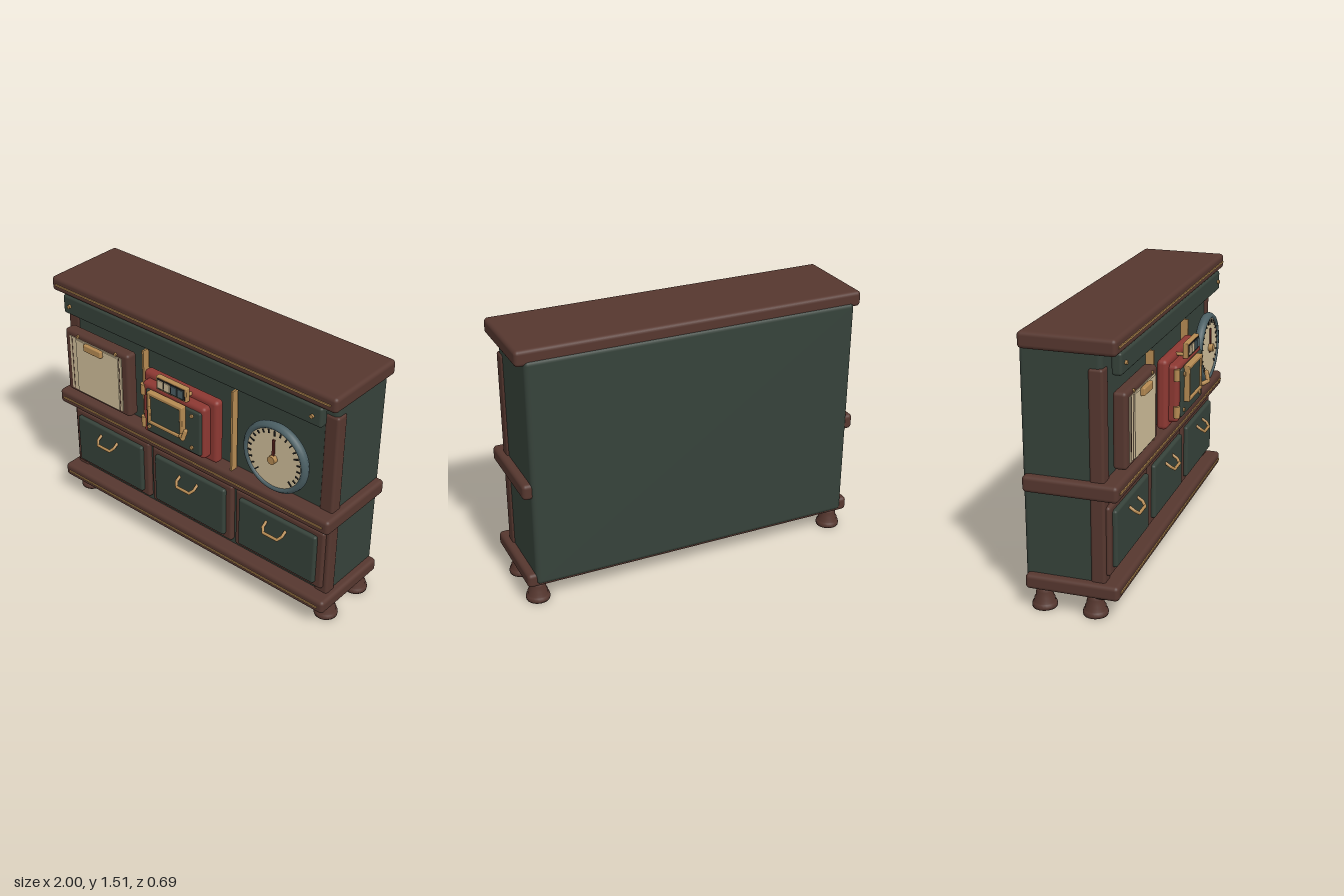
import * as THREE from 'three';
import { RoundedBoxGeometry } from 'three/addons/geometries/RoundedBoxGeometry.js';

const mat = (name, color) => {
  const m = new THREE.MeshStandardMaterial({ color });
  m.name = name;
  return m;
};

export function createModel() {
  const wood = mat('brown wood', 0x56372f);
  const green = mat('dark green', 0x36423a);
  const brass = mat('brass', 0xb58a52);
  const cream = mat('cream', 0xd0be9a);
  const red = mat('red enamel', 0x8c3832);
  const slate = mat('slate blue', 0x4b5f64);
  const dark = mat('near black', 0x232222);
  const maroon = mat('needle red', 0x5e2420);
  const model = new THREE.Group();
  model.name = 'cabinet';

  const add = (name, geo, material, parent = model) => {
    const mesh = new THREE.Mesh(geo, material);
    mesh.name = name;
    parent.add(mesh);
    return mesh;
  };
  // box given by its limits; r > 0 rounds the edges
  const box = (name, material, [x0, x1], [y0, y1], [z0, z1], r = 0, parent = model) => {
    const w = x1 - x0, h = y1 - y0, d = z1 - z0;
    const geo = r ? new RoundedBoxGeometry(w, h, d, 3, r) : new THREE.BoxGeometry(w, h, d);
    const mesh = add(name, geo, material, parent);
    mesh.position.set((x0 + x1) / 2, (y0 + y1) / 2, (z0 + z1) / 2);
    return mesh;
  };
  // disc or rod pointing forward
  const rod = (name, material, x, y, z0, z1, r, seg = 16) => {
    const mesh = add(name, new THREE.CylinderGeometry(r, r, z1 - z0, seg), material);
    mesh.rotation.x = Math.PI / 2;
    mesh.position.set(x, y, (z0 + z1) / 2);
    return mesh;
  };
  // tube through points with straight runs
  const pipe = (name, pts, r, parent = model) => {
    const path = new THREE.CurvePath();
    const v = pts.map(p => new THREE.Vector3(...p));
    for (let i = 1; i < v.length; i++) path.add(new THREE.LineCurve3(v[i - 1], v[i]));
    add(name, new THREE.TubeGeometry(path, 36, r, 8), brass, parent);
    for (const p of v) add(name + 'Joint', new THREE.SphereGeometry(r, 8, 6), brass, parent).position.copy(p);
  };

  // carcass and corner stiles
  box('body', green, [-0.955, 0.955], [0.135, 1.45], [-0.34, 0.095], 0.025);
  for (const s of [-1, 1]) {
    const a = 0.88 * s, b = 0.965 * s;
    box('cornerStile', wood, [Math.min(a, b), Math.max(a, b)], [0.1, 1.345], [0.025, 0.103], 0.015);
  }

  // projecting shelves with brass inlay
  for (const [name, y0, y1] of [['baseShelf', 0.12, 0.202], ['middleShelf', 0.665, 0.755], ['topSlab', 1.422, 1.51]]) {
    box(name, wood, [-1, 1], [y0, y1], [-0.33, 0.185], 0.022);
    const y = (y0 + y1) / 2 - 0.001;
    box(name + 'Inlay', brass, [-0.965, 0.965], [y - 0.005, y + 0.005], [0.183, 0.191]);
  }

  // turned feet
  const footProfile = [[0, 0], [0.066, 0], [0.068, 0.012], [0.064, 0.028], [0.056, 0.032], [0.056, 0.05],
    [0.048, 0.06], [0.046, 0.085], [0.043, 0.09], [0.04, 0.13], [0, 0.13]].map(p => new THREE.Vector2(...p));
  for (const x of [-0.925, 0.925]) for (const z of [0.035, -0.25]) {
    add('foot', new THREE.LatheGeometry(footProfile, 24), wood).position.set(x, 0, z);
  }

  // cornice board
  box('corniceBoard', green, [-0.915, 0.915], [1.305, 1.422], [0.128, 0.183], 0.015);
  for (const x of [-0.86, 0.86]) rod('corniceScrew', brass, x, 1.362, 0.18, 0.196, 0.011);

  // drawers
  for (const cx of [-0.635, 0, 0.635]) {
    const drawer = new THREE.Group();
    drawer.name = 'drawer';
    drawer.position.x = cx;
    model.add(drawer);
    box('drawerFrame', wood, [-0.305, 0.305], [0.23, 0.615], [0.08, 0.124], 0.016, drawer);
    box('drawerPanel', green, [-0.265, 0.265], [0.264, 0.583], [0.105, 0.147], 0.014, drawer);
    pipe('drawerHandle', [[-0.066, 0.527, 0.142], [-0.066, 0.505, 0.175], [-0.047, 0.486, 0.194],
      [0.047, 0.486, 0.194], [0.066, 0.505, 0.175], [0.066, 0.527, 0.142]], 0.009, drawer);
  }

  // brass dividers
  for (const x of [-0.322, 0.322]) box('divider', brass, [x - 0.006, x + 0.006], [0.757, 1.265], [0.112, 0.156]);

  // notice board with paper stack and clip
  box('noticeBoard', wood, [-0.9, -0.397], [0.808, 1.217], [0.125, 0.2], 0.02);
  box('backPaper', cream, [-0.857, -0.445], [0.835, 1.185], [0.195, 0.204]);
  box('frontPaper', cream, [-0.8, -0.465], [0.838, 1.182], [0.204, 0.212]);
  for (const x of [-0.838, -0.803, -0.463]) box('paperEdge', wood, [x - 0.0015, x + 0.0015], [0.838, 1.182], [0.203, 0.206]);
  box('paperClip', brass, [-0.717, -0.58], [1.145, 1.188], [0.21, 0.236], 0.006);
  for (const x of [-0.79, -0.49]) rod('boardScrew', brass, x, 1.198, 0.195, 0.207, 0.01);

  // red safe: housing, raised door rim, door
  box('safeHousing', red, [-0.267, 0.267], [0.797, 1.195], [0.15, 0.212], 0.025);
  box('safeRim', red, [-0.232, 0.222], [0.833, 1.16], [0.19, 0.262], 0.022);
  box('safeDoor', green, [-0.192, 0.204], [0.857, 1.13], [0.25, 0.276], 0.01);
  for (const x of [-0.165, 0.147]) for (const y of [0.895, 1.097]) rod('doorScrew', brass, x, y, 0.272, 0.285, 0.011);

  // raised inspection plate with brass surround
  box('inspectionPlate', green, [-0.14, 0.085], [0.952, 1.12], [0.27, 0.296], 0.004);
  box('surroundTop', brass, [-0.156, 0.1], [1.118, 1.14], [0.27, 0.306], 0.005);
  box('surroundBottom', brass, [-0.156, 0.1], [0.936, 0.956], [0.27, 0.306], 0.005);
  for (const x of [-0.146, 0.09]) box('surroundSide', brass, [x - 0.01, x + 0.01], [0.94, 1.136], [0.27, 0.306], 0.005);
  pipe('doorLever', [[0.098, 0.965, 0.272], [0.098, 0.965, 0.312], [0.13, 0.972, 0.332], [0.14, 1.02, 0.32]], 0.013);

  // hinges
  for (const y of [0.897, 1.108]) {
    add('hinge', new THREE.CylinderGeometry(0.017, 0.017, 0.066, 16), brass).position.set(-0.225, y, 0.255);
  }

  // counter above the safe
  box('counterCase', brass, [-0.107, 0.111], [1.165, 1.25], [0.25, 0.28], 0.005);
  box('counterFace', dark, [-0.097, 0.101], [1.175, 1.24], [0.277, 0.283]);
  [cream, cream, slate, slate].forEach((m, i) => {
    const x = -0.091 + i * 0.048;
    box('counterCell', m, [x, x + 0.04], [1.183, 1.232], [0.281, 0.288]);
  });
  for (const x of [-0.075, 0.08]) rod('counterPost', brass, x, 1.18, 0.205, 0.255, 0.01);

  // gauge: slate bezel, cream face, ticks, needle and hub
  const gx = 0.643, gy = 1.01;
  const bezelProfile = [[0, 0.152], [0.185, 0.152], [0.202, 0.158], [0.211, 0.175], [0.208, 0.192], [0.196, 0.206],
    [0.184, 0.207], [0.176, 0.199], [0.175, 0.19]].map(p => new THREE.Vector2(...p));
  const bezel = add('gaugeBezel', new THREE.LatheGeometry(bezelProfile, 56), slate);
  bezel.rotation.x = Math.PI / 2;
  bezel.position.set(gx, gy, 0);
  rod('gaugeFace', cream, gx, gy, 0.18, 0.197, 0.178, 48);
  for (let i = 0; i <= 20; i++) {
    const a = (-135 + i * 13.5) * Math.PI / 180;
    const len = i % 5 ? 0.02 : 0.03;
    const tick = add('gaugeTick', new THREE.BoxGeometry(0.007, len, 0.006), dark);
    const r = 0.171 - len / 2;
    tick.position.set(gx + Math.sin(a) * r, gy + Math.cos(a) * r, 0.199);
    tick.rotation.z = -a;
  }
  box('gaugeNeedle', maroon, [gx - 0.007, gx + 0.007], [gy - 0.03, gy + 0.12], [0.2, 0.208]);
  rod('gaugeHub', brass, gx, gy, 0.195, 0.224, 0.024, 20);

  return model;
}
